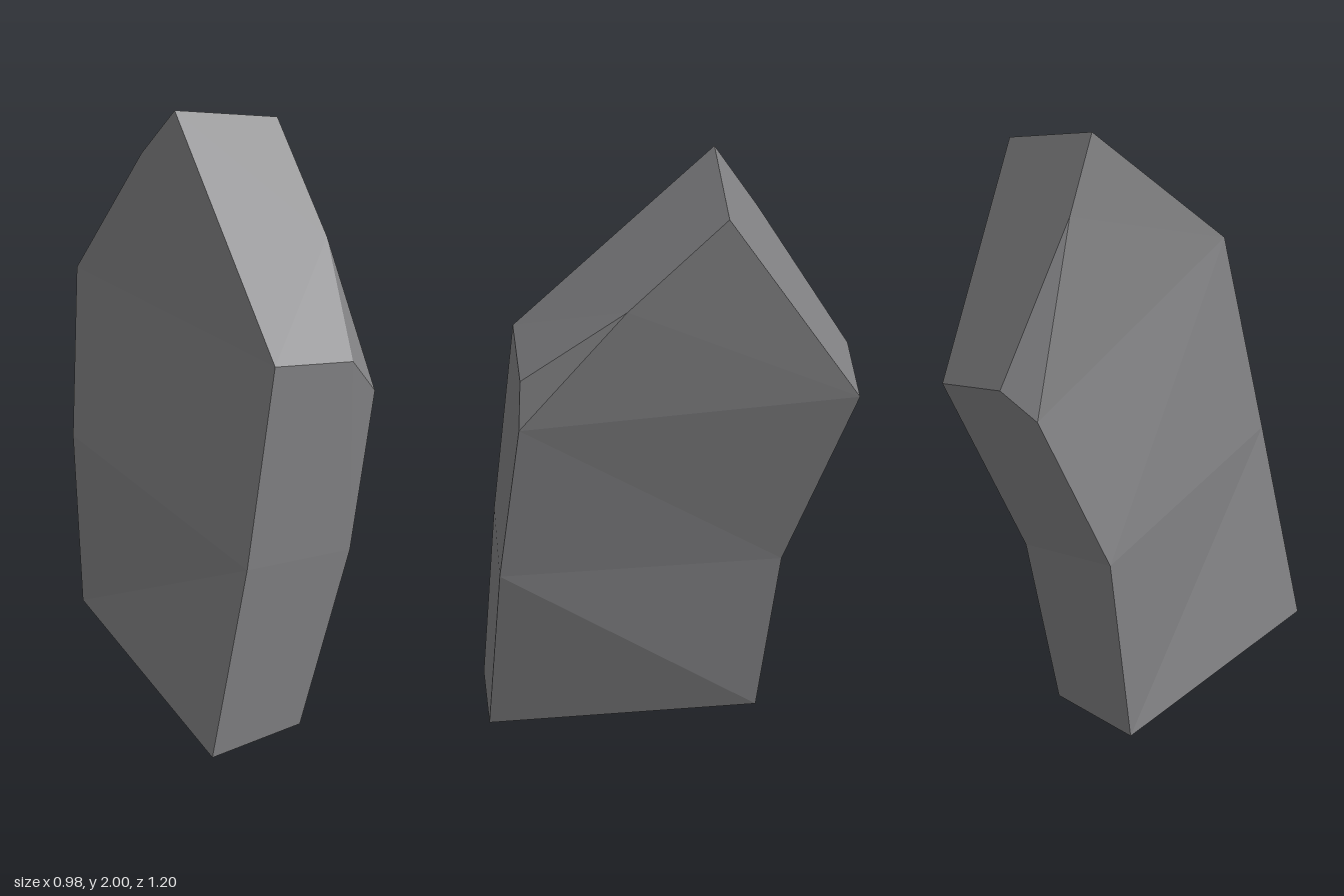
import * as THREE from 'three';

// Corners of the slab, named by side: r = +x panel, l = -x panel
const P = {
  rBottomFront: [-0.19, 0.02, 0.555], rMidFront: [0, 0.68, 0.6], rShoulderFront: [0.125, 1.235, 0.585],
  rSlope: [0.28, 1.61, 0.29], rPeak: [0.405, 1.885, 0.01], rShoulderBack: [0.487, 1.235, -0.443],
  rMidBack: [0.275, 0.605, -0.31], rBottomBack: [0.18, 0.003, -0.285],
  lBottomFront: [-0.49, 0.022, 0.41], lMidFront: [-0.335, 0.74, 0.43], lShoulderFront: [-0.19, 1.44, 0.42],
  lPeak: [0.085, 2, -0.153], lSlope: [0.11, 1.785, -0.303], lShoulderBack: [0.126, 1.235, -0.597],
  lMidBack: [-0.065, 0.69, -0.485], lBottomBack: [-0.115, 0, -0.43],
  chipFront: [0.06, 1.365, 0.54], chipBack: [0.252, 1.31, -0.57],
};

// Each part is a list of facets; every facet is fanned from its first corner
const PARTS = {
  rightPanel: [
    ['rSlope', 'rPeak', 'rShoulderBack', 'rShoulderFront'],
    ['rShoulderFront', 'rShoulderBack', 'rMidBack'],
    ['rShoulderFront', 'rMidBack', 'rMidFront'],
    ['rMidFront', 'rMidBack', 'rBottomBack'],
    ['rMidFront', 'rBottomBack', 'rBottomFront'],
  ],
  leftPanel: [
    ['lSlope', 'lPeak', 'lShoulderFront', 'lShoulderBack'],
    ['lShoulderFront', 'lShoulderBack', 'lMidBack'],
    ['lShoulderFront', 'lMidBack', 'lMidFront'],
    ['lMidFront', 'lMidBack', 'lBottomBack'],
    ['lMidFront', 'lBottomBack', 'lBottomFront'],
  ],
  frontEdge: [
    ['lBottomFront', 'rBottomFront', 'rMidFront', 'lMidFront'],
    ['chipFront', 'lShoulderFront', 'lMidFront', 'rMidFront', 'rShoulderFront'],
  ],
  backEdge: [
    ['lBottomBack', 'rBottomBack', 'rMidBack', 'lMidBack'],
    ['chipBack', 'rShoulderBack', 'rMidBack', 'lMidBack', 'lShoulderBack'],
  ],
  frontSlope: [['rSlope', 'rPeak', 'lPeak', 'lShoulderFront', 'chipFront']],
  backSlope: [['lSlope', 'lPeak', 'rPeak', 'rShoulderBack', 'chipBack']],
  chippedCorners: [
    ['chipFront', 'rShoulderFront', 'rSlope'],
    ['chipBack', 'lShoulderBack', 'lSlope'],
  ],
  base: [['lBottomFront', 'rBottomFront', 'rBottomBack', 'lBottomBack']],
};

const CENTRE = new THREE.Vector3(0.03, 0.95, 0);

// Triangulate facets, turning each triangle to face away from the centre
function facetGeometry(facets) {
  const pos = [];
  for (const names of facets) {
    const v = names.map((n) => new THREE.Vector3(...P[n]));
    for (let i = 1; i < v.length - 1; i++) {
      const tri = new THREE.Triangle(v[0], v[i], v[i + 1]);
      const outward = tri.getNormal(new THREE.Vector3()).dot(v[0].clone().sub(CENTRE)) > 0;
      const order = outward ? [tri.a, tri.b, tri.c] : [tri.a, tri.c, tri.b];
      order.forEach((p) => pos.push(p.x, p.y, p.z));
    }
  }
  const geo = new THREE.BufferGeometry();
  geo.setAttribute('position', new THREE.Float32BufferAttribute(pos, 3));
  geo.computeVertexNormals();
  return geo;
}

export function createModel() {
  const stone = new THREE.MeshStandardMaterial({ color: 0x808082 });
  stone.name = 'grey stone';
  stone.flatShading = true;

  const group = new THREE.Group();
  group.name = 'standingStone';
  for (const [name, facets] of Object.entries(PARTS)) {
    const mesh = new THREE.Mesh(facetGeometry(facets), stone);
    mesh.name = name;
    group.add(mesh);
  }
  return group;
}
